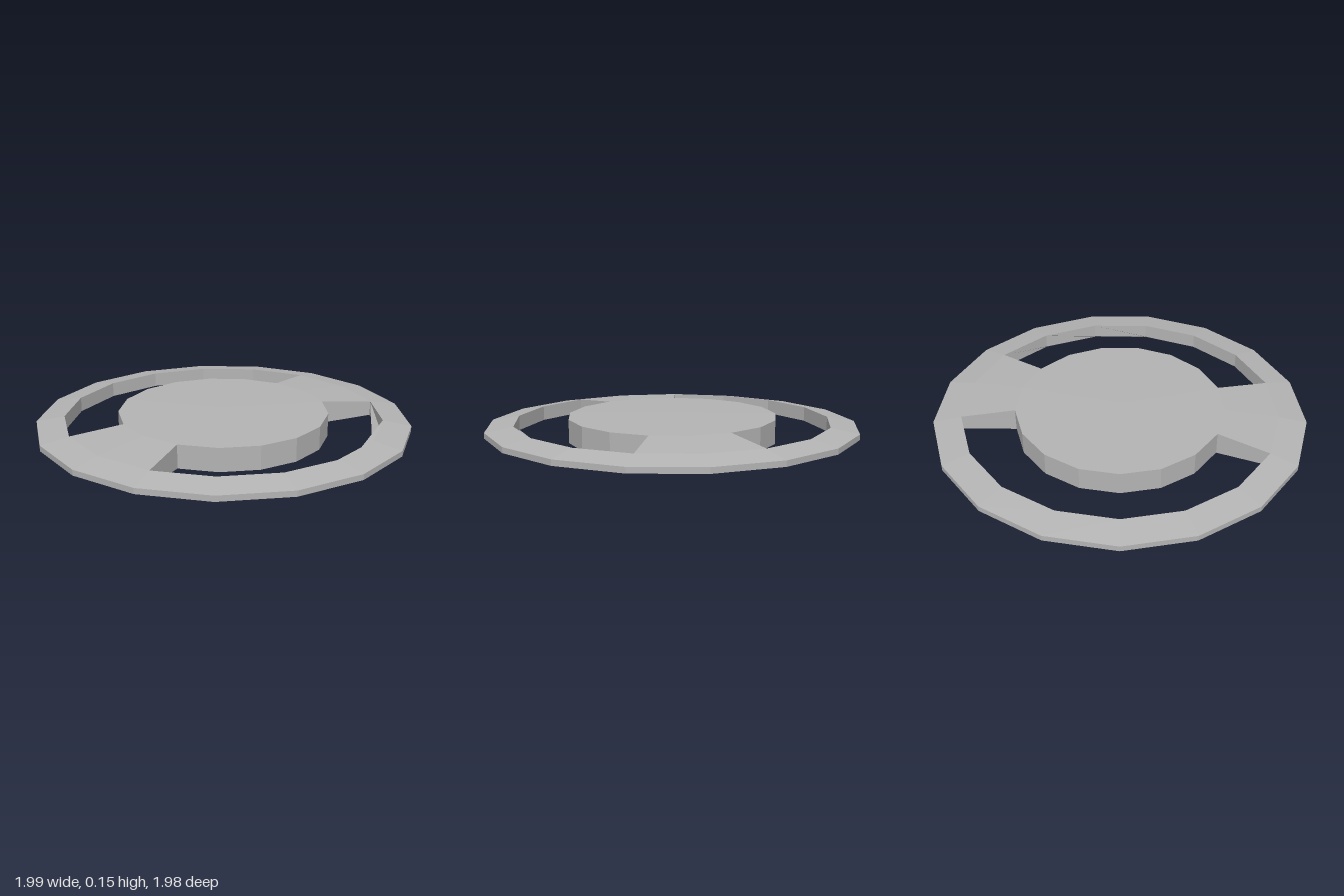
import * as THREE from 'three';

const SIDES = 17;
const MID = 0.08;
// radius and half thickness of each loop, from the centre to the rim
const HUB = { r: 0.563, h: 0.063 };
const INNER = { r: 0.85, h: 0.04 };
const OUTER = { r: 1, h: 0.015 };
const CENTRE = { r: 0, h: 0.075 };

// corner k of a loop, s = 1 on the upper face and -1 on the lower
function pt(loop, k, s) {
  const a = (k * Math.PI * 2) / SIDES;
  return [Math.sin(a) * loop.r, MID + s * loop.h, -Math.cos(a) * loop.r];
}

function makeMesh(name, material, tris) {
  const geo = new THREE.BufferGeometry();
  geo.setAttribute('position', new THREE.Float32BufferAttribute(tris.flat(2), 3));
  geo.computeVertexNormals();
  const mesh = new THREE.Mesh(geo, material);
  mesh.name = name;
  return mesh;
}

const quad = (a, b, c, d) => [[a, b, c], [a, c, d]];

// upper and lower faces between two loops over one segment
function plates(inner, outer, k) {
  const tris = [];
  for (const s of [1, -1]) {
    const a = pt(inner, k, s), b = pt(outer, k, s);
    const c = pt(outer, k + 1, s), d = pt(inner, k + 1, s);
    tris.push(...(s > 0 ? quad(a, d, c, b) : quad(a, b, c, d)));
  }
  return tris;
}

// upright wall on a loop, facing away from or towards the axis
function wall(loop, k, outward) {
  const a = pt(loop, k, -1), b = pt(loop, k + 1, -1);
  const c = pt(loop, k + 1, 1), d = pt(loop, k, 1);
  return outward ? quad(a, d, c, b) : quad(a, b, c, d);
}

// end wall of a slot, running from hub to ring
function endWall(k, start) {
  const a = pt(HUB, k, -1), b = pt(INNER, k, -1);
  const c = pt(INNER, k, 1), d = pt(HUB, k, 1);
  return start ? quad(a, d, c, b) : quad(a, b, c, d);
}

export function createModel() {
  const group = new THREE.Group();
  group.name = 'slottedDisc';
  const grey = new THREE.MeshStandardMaterial({ color: 0xb4b4b4 });
  grey.name = 'grey';
  grey.flatShading = true;
  grey.side = THREE.DoubleSide;

  const isSpoke = (k) => k === 3 || k === 4 || k === 11 || k === 12;
  const hub = [], ring = [], spokes = [], flaps = [];

  for (let k = 0; k < SIDES; k++) {
    // domed hub and bevelled outer ring
    for (const s of [1, -1]) {
      const c = pt(CENTRE, 0, s), a = pt(HUB, k, s), b = pt(HUB, k + 1, s);
      hub.push(s > 0 ? [c, b, a] : [c, a, b]);
    }
    ring.push(...plates(INNER, OUTER, k), ...wall(OUTER, k, true));
    // spokes join the two, slots need walls
    if (isSpoke(k)) {
      spokes.push(...plates(HUB, INNER, k));
    } else {
      hub.push(...wall(HUB, k, true));
      ring.push(...wall(INNER, k, false));
    }
  }

  // spoke sides
  for (const k of [5, 13]) spokes.push(...endWall(k, true));
  for (const k of [3, 11]) spokes.push(...endWall(k, false));

  // slim overhanging facets inside the front slot
  for (const k of [5, 6, 7]) {
    flaps.push([pt(INNER, k, 1), pt(INNER, k + 1, -1), pt(INNER, k + 2, -1)]);
  }

  group.add(
    makeMesh('hub', grey, hub),
    makeMesh('ring', grey, ring),
    makeMesh('spokes', grey, spokes),
    makeMesh('slotFacets', grey, flaps),
  );
  return group;
}
